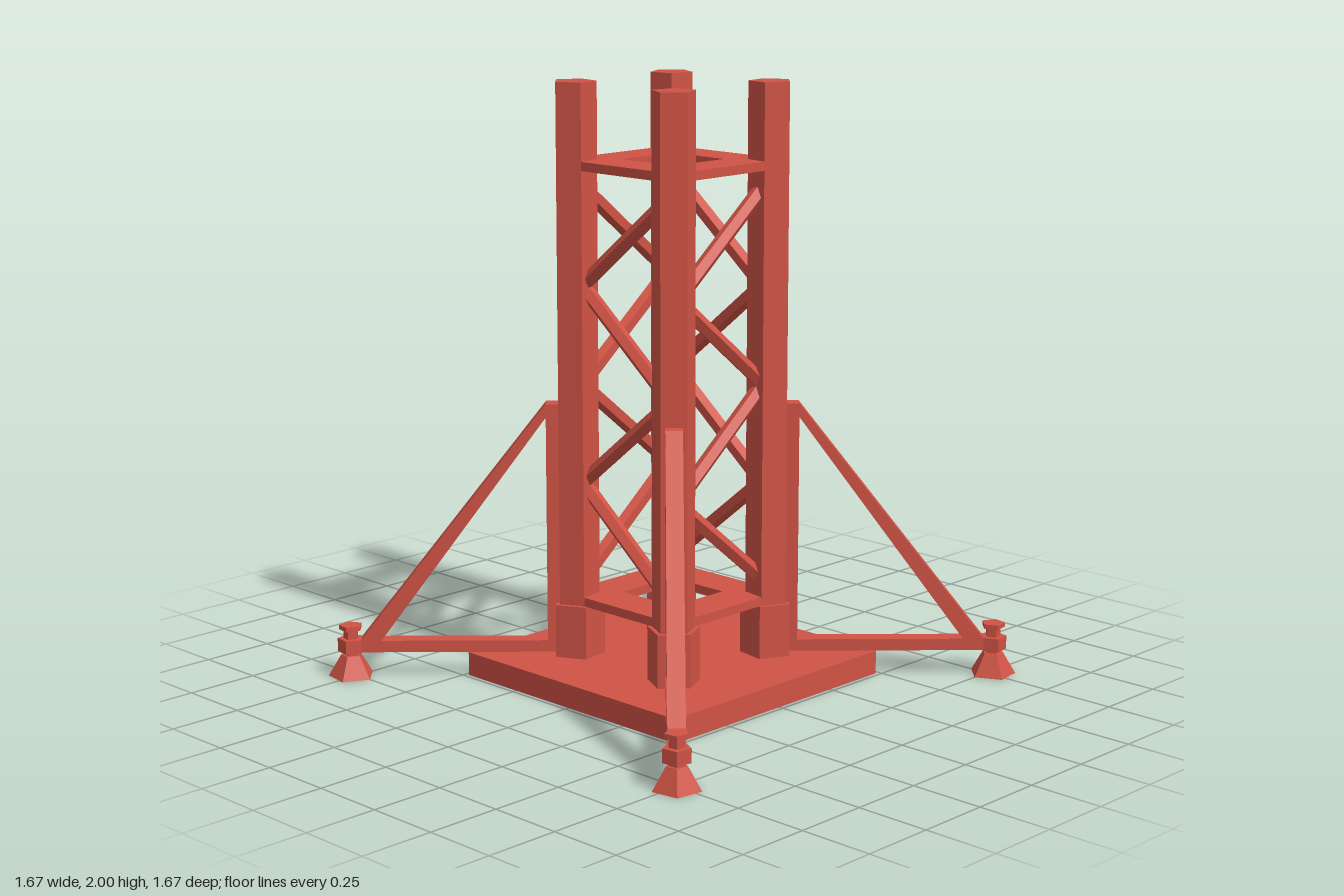
import * as THREE from 'three';

const paint = new THREE.MeshStandardMaterial({ color: 0xd05345, flatShading: true, side: THREE.DoubleSide });
paint.name = 'red paint';

function add(parent, name, geometry, x = 0, y = 0, z = 0) {
  const mesh = new THREE.Mesh(geometry, paint);
  mesh.name = name;
  mesh.position.set(x, y, z);
  parent.add(mesh);
  return mesh;
}

// Five-sided turned part; inward = one corner points at the tower axis
function pentagon(profile, inward) {
  const points = profile.map(([r, y]) => new THREE.Vector2(r, y));
  return new THREE.LatheGeometry(points, 5, inward ? Math.PI : 0);
}

function polygon(points, Type = THREE.Shape) {
  return new Type(points.map(([x, y]) => new THREE.Vector2(x, y)));
}

// Square plate with a square opening, lying flat
function framePlate() {
  const square = (h) => [[-h, -h], [h, -h], [h, h], [-h, h]];
  const shape = polygon(square(0.257));
  shape.holes.push(polygon(square(0.118), THREE.Path));
  return new THREE.ExtrudeGeometry(shape, { depth: 0.03, bevelEnabled: false }).rotateX(-Math.PI / 2);
}

// Box with no underside
function openBase() {
  const box = new THREE.BoxGeometry(0.97, 0.08, 0.97);
  const index = Array.from(box.index.array);
  index.splice(18, 6);
  box.setIndex(index);
  box.clearGroups();
  return box;
}

// Triangular outrigger frame, in radial distance and height
function outriggerFrame() {
  const width = 0.056;
  const shape = polygon([[0.37, 0.09], [1.079, 0.09], [1.079, 0.13], [1.045, 0.13], [0.418, 0.94], [0.37, 0.94]]);
  shape.holes.push(polygon([[0.418, 0.13], [0.975, 0.13], [0.418, 0.895]], THREE.Path));
  return new THREE.ExtrudeGeometry(shape, { depth: width, bevelEnabled: false })
    .translate(0, 0, -width / 2)
    .rotateY(-Math.PI / 2);
}

// One corner, built outward along +z
function createCorner() {
  const corner = new THREE.Group();
  corner.name = 'corner';
  const columnZ = 0.317, footZ = 1.079;
  add(corner, 'column', pentagon([[0.073, 0.04], [0.073, 2], [0, 2]], true), 0, 0, columnZ);
  add(corner, 'columnSleeve', pentagon([[0.09, 0.04], [0.09, 0.26], [0, 0.26]], true), 0, 0, columnZ);
  add(corner, 'outriggerFrame', outriggerFrame());
  add(corner, 'footPad', pentagon([[0, 0], [0.079, 0], [0.035, 0.075], [0, 0.075]]), 0, 0, footZ);
  add(corner, 'footCollar', pentagon([[0, 0.086], [0.046, 0.086], [0.046, 0.132], [0, 0.132]]), 0, 0, footZ);
  add(corner, 'footScrew', pentagon([[0.026, 0.07], [0.026, 0.166]]), 0, 0, footZ);
  add(corner, 'footScrewHead', pentagon([[0, 0.163], [0.04, 0.163], [0.04, 0.178], [0, 0.178]]), 0, 0, footZ);
  return corner;
}

// Zigzag lattice bars of one face, facing +z
function createLattice() {
  const lattice = new THREE.Group();
  lattice.name = 'lattice';
  const run = 0.38, rise = 0.31;
  const bar = new THREE.CylinderGeometry(0.026, 0.026, Math.hypot(run, rise), 5);
  [1.495, 1.17, 0.835, 0.505].forEach((y, i) => {
    const mesh = add(lattice, 'latticeBar', bar, 0, y, 0.215);
    mesh.rotation.z = Math.atan2(run, rise) * (i % 2 ? 1 : -1);
  });
  return lattice;
}

export function createModel() {
  const model = new THREE.Group();
  model.name = 'towerSection';
  add(model, 'base', openBase(), 0, 0.04, 0);
  add(model, 'lowerPlate', framePlate(), 0, 0.26, 0);
  add(model, 'upperPlate', framePlate(), 0, 1.716, 0);
  for (let i = 0; i < 4; i++) {
    const corner = createCorner();
    corner.rotation.y = Math.PI / 4 + (i * Math.PI) / 2;
    const lattice = createLattice();
    lattice.rotation.y = (i * Math.PI) / 2;
    model.add(corner, lattice);
  }
  return model;
}
